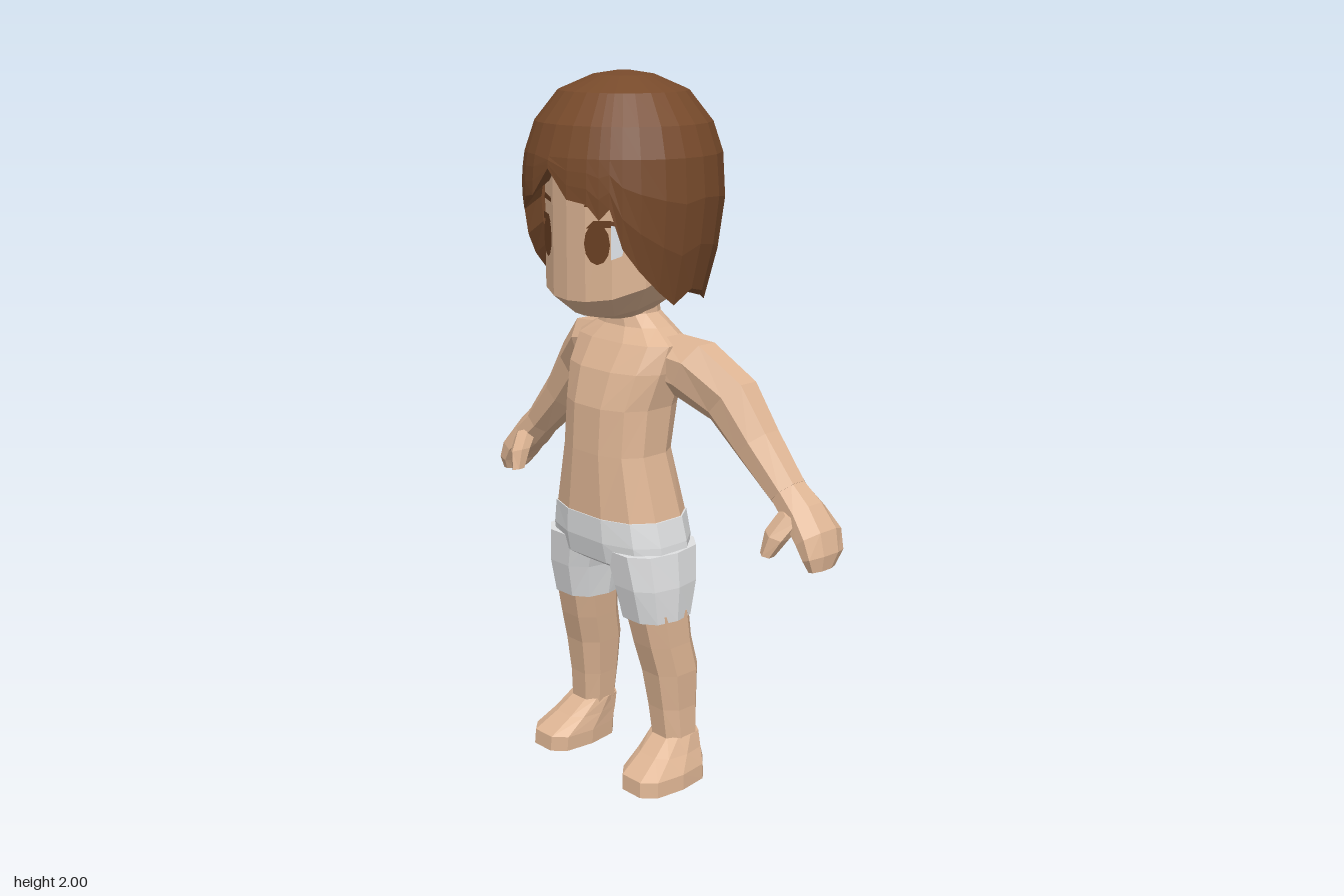
import * as THREE from 'three';

const mat = (name, color) => Object.assign(new THREE.MeshStandardMaterial({ color }), { name });
const V = (x, y, z) => new THREE.Vector3(x, y, z);
const lerp = THREE.MathUtils.lerp;

// Piecewise linear lookup in [[key, value], ...]
function sample(table, k) {
  for (let i = 1; i < table.length; i++) {
    const [a, va] = table[i - 1], [b, vb] = table[i];
    if (k <= b) return lerp(va, vb, Math.max(0, (k - a) / (b - a)));
  }
  return table[table.length - 1][1];
}

// Faceted skin over a list of rings; mirrors in x on request, always faces outward
function loft(rings, capStart = true, capEnd = true, mirror = false) {
  const tris = [], n = rings[0].length;
  for (let i = 0; i + 1 < rings.length; i++)
    for (let j = 0; j < n; j++) {
      const k = (j + 1) % n, a = rings[i], b = rings[i + 1];
      tris.push([a[j], a[k], b[k]], [a[j], b[k], b[j]]);
    }
  const cap = (r, flip) => {
    const c = r.reduce((s, p) => s.add(p), V(0, 0, 0)).divideScalar(n);
    r.forEach((p, j) => tris.push(flip ? [c, r[(j + 1) % n], p] : [c, p, r[(j + 1) % n]]));
  };
  if (capStart) cap(rings[0], true);
  if (capEnd) cap(rings[rings.length - 1], false);
  const s = mirror ? -1 : 1;
  const mid = rings.flat().reduce((m, p) => m.add(p), V(0, 0, 0)).divideScalar(n * rings.length);
  let volume = 0;
  for (const [a, b, c] of tris)
    volume += a.clone().sub(mid).dot(b.clone().sub(mid).cross(c.clone().sub(mid)));
  const flip = volume * s < 0;
  const pos = [];
  for (const [a, b, c] of tris)
    for (const p of flip ? [a, c, b] : [a, b, c]) pos.push(p.x * s, p.y, p.z);
  const g = new THREE.BufferGeometry();
  g.setAttribute('position', new THREE.Float32BufferAttribute(pos, 3));
  g.computeVertexNormals();
  return g;
}

// Horizontal rounded-box ring from width, front and back
function slab([y, cx, rx, zf, zb], n, p = 0.8) {
  const bend = v => Math.sign(v) * Math.abs(v) ** p;
  return Array.from({ length: n }, (_, i) => {
    const a = ((i + 0.5) / n) * Math.PI * 2;
    return V(cx + rx * bend(Math.sin(a)), y, (zf + zb) / 2 + ((zf - zb) / 2) * bend(Math.cos(a)));
  });
}

// Rings set square to a path: [x, y, z, thickness, depth]
function limb(path, n = 8) {
  return path.map(([x, y, z, r, rz], i) => {
    const a = path[Math.max(0, i - 1)], b = path[Math.min(path.length - 1, i + 1)];
    const d = new THREE.Vector2(b[0] - a[0], b[1] - a[1]).normalize();
    return Array.from({ length: n }, (_, j) => {
      const t = ((j + 0.5) / n) * Math.PI * 2, c = r * Math.cos(t) * 1.06;
      return V(x - d.y * c, y + d.x * c, z + rz * Math.sin(t) * 1.06);
    });
  });
}

export function createModel() {
  const skin = mat('skin', 0xdeb594), hair = mat('hair', 0x774a2b);
  const cloth = mat('shorts cloth', 0xe0e1e2), brown = mat('eye brown', 0x6b4023);
  const white = mat('eye white', 0xdfe4ea);
  hair.side = THREE.DoubleSide;
  const model = new THREE.Group();
  const add = (name, geometry, material) => {
    const m = new THREE.Mesh(geometry, material);
    m.name = name;
    model.add(m);
  };

  // Torso and neck
  add('torso', loft([
    [0.79, 0, 0.2, 0.152, -0.13], [0.97, 0, 0.157, 0.148, -0.1], [1.1, 0, 0.158, 0.14, -0.125],
    [1.2, 0, 0.18, 0.11, -0.14], [1.275, 0, 0.185, 0.065, -0.135], [1.315, 0, 0.12, 0.035, -0.12],
    [1.35, 0, 0.078, 0.03, -0.1], [1.44, 0, 0.07, 0.02, -0.09],
  ].map(r => slab(r, 12))), skin);

  // Shorts
  add('shortsSeat', loft([
    [0.79, 0, 0.205, 0.155, -0.133], [0.72, 0, 0.22, 0.153, -0.14],
    [0.66, 0, 0.225, 0.14, -0.13], [0.635, 0, 0.2, 0.1, -0.1],
  ].map(r => slab(r, 12))), cloth);

  for (const mirror of [false, true]) {
    const side = mirror ? 'right' : 'left';
    add(side + 'ShortsLeg', loft([
      [0.7, 0.118, 0.112, 0.142, -0.128], [0.6, 0.139, 0.1, 0.13, -0.115], [0.5, 0.145, 0.09, 0.107, -0.088],
    ].map(r => slab(r, 10)), true, true, mirror), cloth);

    // Leg and foot
    add(side + 'Leg', loft([
      [0.52, 0.15, 0.083, 0.1, -0.082], [0.42, 0.157, 0.078, 0.077, -0.09], [0.33, 0.165, 0.075, 0.053, -0.11],
      [0.22, 0.17, 0.066, 0.035, -0.106], [0.12, 0.177, 0.063, 0.025, -0.098],
    ].map(r => slab(r, 8)), true, true, mirror), skin);
    add(side + 'Foot', loft([
      [0.135, 0.177, 0.064, 0.02, -0.1], [0.09, 0.185, 0.072, 0.08, -0.104],
      [0.045, 0.195, 0.084, 0.153, -0.105], [0, 0.197, 0.084, 0.156, -0.105],
    ].map(r => slab(r, 10, 0.7)), true, true, mirror), skin);

    // Arm, mitten hand and thumb
    add(side + 'Arm', loft(limb([
      [0.12, 1.225, -0.05, 0.075, 0.07], [0.21, 1.205, -0.075, 0.09, 0.075], [0.31, 1.13, -0.12, 0.082, 0.073],
      [0.4, 1.025, -0.128, 0.065, 0.065], [0.51, 0.915, -0.13, 0.05, 0.055],
    ]), true, true, mirror), skin);
    add(side + 'Hand', loft(limb([
      [0.505, 0.92, -0.13, 0.048, 0.053], [0.565, 0.865, -0.135, 0.05, 0.065], [0.615, 0.815, -0.135, 0.042, 0.077],
      [0.637, 0.77, -0.13, 0.03, 0.07], [0.642, 0.735, -0.12, 0.018, 0.045],
    ]), true, true, mirror), skin);
    add(side + 'Thumb', loft(limb([
      [0.56, 0.875, -0.1, 0.035, 0.035], [0.54, 0.82, -0.055, 0.033, 0.03], [0.525, 0.765, -0.035, 0.018, 0.02],
    ], 6), true, true, mirror), skin);
  }

  // Head: one outline scaled into rings, with a tilted jaw line
  const half = [[0, 0.205], [0.065, 0.197], [0.135, 0.165], [0.185, 0.09], [0.193, 0], [0.17, -0.1], [0.1, -0.17], [0, -0.19]];
  const outline = [...half, ...half.slice(1, -1).reverse().map(([x, z]) => [-x, z])];
  const headRing = (y, s, tilt = 0, shift = 0) =>
    outline.map(([x, z]) => V(x * s, y - tilt * Math.max(0, z / 0.205), z * s + shift));
  add('head', loft([
    headRing(1.35, 0.35, 0.01), headRing(1.395, 0.68, 0.04, 0.005), headRing(1.48, 1, 0.075),
    headRing(1.74, 1), headRing(1.86, 0.8), headRing(1.92, 0.4),
  ]), skin);

  // Face details: flat plates that follow the face
  const plate = (name, points, material) => {
    for (const s of [1, -1]) {
      const pts = points.map(([x, y]) => new THREE.Vector2(x * s, y));
      const g = new THREE.ShapeGeometry(new THREE.Shape(pts)), p = g.attributes.position;
      for (let i = 0; i < p.count; i++) p.setZ(i, sample(half.slice(0, 4), Math.abs(p.getX(i))) + 0.005);
      g.computeVertexNormals();
      add((s > 0 ? 'left' : 'right') + name, g, material);
    }
  };
  plate('Iris', Array.from({ length: 12 }, (_, i) => {
    const a = (i / 12) * Math.PI * 2;
    return [0.1 + 0.034 * Math.cos(a), 1.565 + 0.055 * Math.sin(a)];
  }), brown);
  plate('EyeWhite', [[0.136, 1.525], [0.152, 1.535], [0.163, 1.61], [0.136, 1.615]], white);
  plate('InnerLash', [[0.072, 1.605], [0.135, 1.61], [0.135, 1.628], [0.09, 1.625]], brown);
  plate('OuterLash', [[0.135, 1.61], [0.166, 1.59], [0.16, 1.613], [0.135, 1.628]], brown);
  plate('Eyebrow', [[0.066, 1.66], [0.13, 1.665], [0.12, 1.68], [0.07, 1.673]], brown);

  // Hair: dome whose lower edge follows fringe, side locks and nape
  const radius = [[1.38, 0.222], [1.5, 0.255], [1.6, 0.275], [1.7, 0.282], [1.78, 0.276], [1.87, 0.245], [1.95, 0.18], [1.99, 0.085], [2, 0.02]];
  const edge = [[0, 1.76], [14, 1.685], [26, 1.675], [33, 1.635], [39, 1.665], [46, 1.56], [56, 1.5], [70, 1.44],
    [83, 1.4], [97, 1.44], [113, 1.425], [130, 1.39], [150, 1.385], [180, 1.38]];
  const around = [...edge, ...edge.slice(1, -1).reverse().map(([a, y]) => [360 - a, y])];
  const hairRing = (yOf, k = 1) => around.map(([deg, low]) => {
    const a = THREE.MathUtils.degToRad(deg), y = yOf(low), r = sample(radius, y) * k;
    return V(r * Math.sin(a), y, r * Math.cos(a) * 0.965);
  });
  add('hair', loft([
    ...[2, 1.99, 1.95, 1.87, 1.79].map(y => hairRing(() => y)),
    ...[0.3, 0.65, 1].map(t => hairRing(low => lerp(1.79, low, t))),
    hairRing(low => low + 0.035, 0.82),
  ], true, false), hair);

  return model;
}
